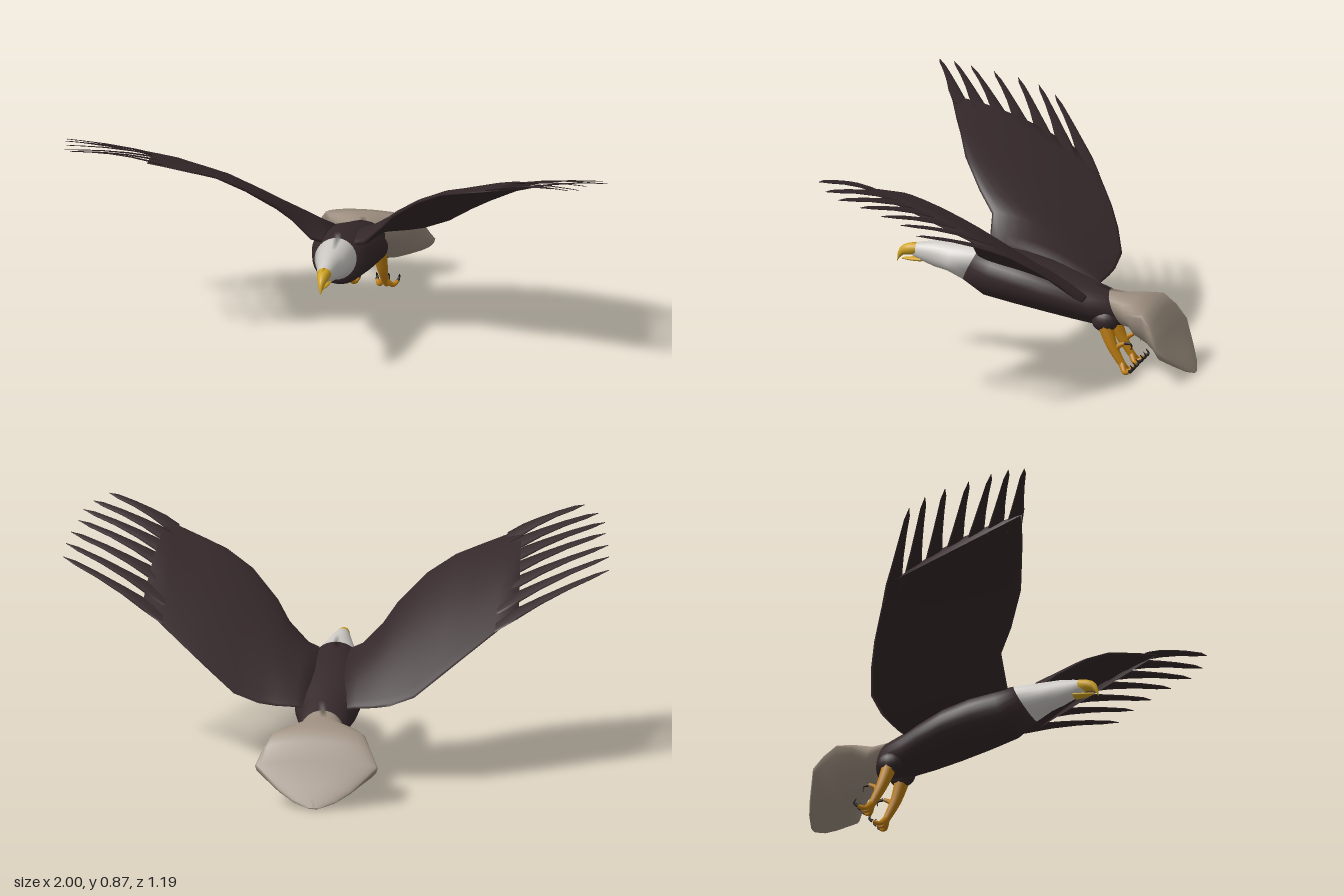
import * as THREE from 'three';

const mat = (name, color) => {
  const m = new THREE.MeshStandardMaterial({ color });
  m.name = name;
  return m;
};
const V = (x, y, z) => new THREE.Vector3(x, y, z);

// Closed skin over a list of rings with equal point counts; faces always point outwards
function loft(rings) {
  const n = rings[0].length, pos = [], idx = [];
  rings.forEach(r => r.forEach(p => pos.push(p.x, p.y, p.z)));
  for (let i = 0; i < rings.length - 1; i++) {
    for (let j = 0; j < n; j++) {
      const a = i * n + j, b = i * n + (j + 1) % n;
      idx.push(a, b, a + n, b, b + n, a + n);
    }
  }
  const last = (rings.length - 1) * n;
  for (let j = 1; j < n - 1; j++) {
    idx.push(0, j + 1, j);
    idx.push(last, last + j, last + j + 1);
  }
  const at = i => V(pos[i * 3], pos[i * 3 + 1], pos[i * 3 + 2]);
  let volume = 0;
  for (let i = 0; i < idx.length; i += 3) volume += at(idx[i]).dot(at(idx[i + 1]).cross(at(idx[i + 2])));
  if (volume < 0) idx.reverse();
  const g = new THREE.BufferGeometry();
  g.setAttribute('position', new THREE.Float32BufferAttribute(pos, 3));
  g.setIndex(idx);
  g.computeVertexNormals();
  return g;
}

// Egg-shaped ring across the body; shear slides its underside along z
function ring([z, top, bottom, w, mid = (top + bottom) / 2, shear = 0]) {
  return Array.from({ length: 28 }, (_, i) => {
    const a = i / 28 * Math.PI * 2, c = Math.cos(a);
    const y = mid + (c > 0 ? top - mid : mid - bottom) * c;
    return V(w * Math.sin(a), y, z + shear * (1 - c) / 2);
  });
}
const bodyLoft = sections => loft(sections.map(ring));

// Tube that narrows from r0 to r1
function taper(points, r0, r1, steps = 12) {
  const curve = new THREE.CatmullRomCurve3(points);
  const g = new THREE.TubeGeometry(curve, steps, 1, 8);
  const p = g.attributes.position, v = new THREE.Vector3();
  for (let i = 0; i < p.count; i++) {
    const t = Math.floor(i / 9) / steps, c = curve.getPointAt(t);
    v.fromBufferAttribute(p, i).sub(c).multiplyScalar(r0 + (r1 - r0) * t).add(c);
    p.setXYZ(i, v.x, v.y, v.z);
  }
  return g;
}

// Wing stations: x at front, front y, z, x at back, back y, z, thickness
const STATIONS = [
  [0.06, 0.41, 0.19, 0.05, 0.28, -0.20, 0.03],
  [0.10, 0.425, 0.20, 0.11, 0.29, -0.22, 0.035],
  [0.17, 0.50, 0.21, 0.18, 0.295, -0.228, 0.03],
  [0.22, 0.57, 0.27, 0.24, 0.305, -0.235, 0.026],
  [0.32, 0.665, 0.35, 0.33, 0.34, -0.238, 0.022],
  [0.42, 0.725, 0.395, 0.42, 0.41, -0.20, 0.018],
  [0.50, 0.752, 0.43, 0.50, 0.47, -0.155, 0.015],
  [0.60, 0.785, 0.47, 0.61, 0.55, -0.08, 0.011],
  [0.65, 0.80, 0.49, 0.69, 0.605, 0.00, 0.006],
];
// Point on the gently arched wing, c runs from front edge to back edge
function wingPoint(s, c, lift = 0) {
  const arch = 0.028 * Math.sin(Math.PI * c);
  return V(s[0] + (s[3] - s[0]) * c, s[1] + (s[4] - s[1]) * c + arch + lift, s[2] + (s[5] - s[2]) * c);
}
function wingGeometry(side) {
  return loft(STATIONS.map(s => Array.from({ length: 24 }, (_, i) => {
    const a = i / 24 * Math.PI * 2, c = (1 - Math.cos(a)) / 2;
    const p = wingPoint(s, c, s[6] * Math.sin(a) * (1 - 0.6 * c));
    p.x *= side;
    return p;
  })));
}

// Tips of the long flight feathers, from back to front
const TIPS = [
  [1.0, 0.73, 0.19], [0.995, 0.765, 0.25], [0.985, 0.79, 0.325], [0.965, 0.812, 0.41],
  [0.955, 0.832, 0.495], [0.925, 0.852, 0.55], [0.87, 0.872, 0.59],
];
function featherGeometry(side, i) {
  const base = wingPoint(STATIONS[7], 0.94 - i * 0.147);
  const tip = V(...TIPS[i]);
  const across = V(0, 0.42, 0.9).normalize();
  const shape = [[0, 0.036], [0.2, 0.036], [0.4, 0.026], [0.65, 0.018], [0.88, 0.013], [1, 0.001]];
  return loft(shape.map(([t, w]) => Array.from({ length: 8 }, (_, k) => {
    const a = k / 8 * Math.PI * 2;
    const p = base.clone().lerp(tip, t).addScaledVector(across, w * Math.cos(a));
    p.y += 0.004 * (1 - 0.7 * t) * Math.sin(a) + 0.012 * Math.sin(Math.PI * t);
    p.x *= side;
    return p;
  })));
}

export function createModel() {
  const model = new THREE.Group();
  const brown = mat('dark brown plumage', 0x35282a);
  const white = mat('white head plumage', 0xcdcac5);
  const cream = mat('cream tail plumage', 0x9d8f80);
  const yellow = mat('beak yellow', 0xcfa323);
  const ochre = mat('leg ochre', 0xbb7c10);
  const black = mat('talon black', 0x221e1c);
  const add = (name, geometry, material, parent = model) => {
    const m = new THREE.Mesh(geometry, material);
    m.name = name;
    parent.add(m);
    return m;
  };

  // Head, body and tail share their border rings
  const neck = [0.20, 0.433, 0.297, 0.078, 0.365, 0.07];
  const rump = [-0.28, 0.295, 0.165, 0.078, 0.23, -0.06];
  add('head', bodyLoft([
    [0.468, 0.417, 0.374, 0.018], [0.43, 0.426, 0.355, 0.03], [0.38, 0.433, 0.336, 0.04],
    [0.31, 0.433, 0.325, 0.055, 0.375, 0.02], neck,
  ]), white);
  add('body', bodyLoft([
    neck, [0.13, 0.427, 0.245, 0.102, 0.34, 0.06], [0.05, 0.412, 0.222, 0.122, 0.32, 0.02],
    [-0.05, 0.385, 0.2, 0.128], [-0.15, 0.345, 0.18, 0.115], [-0.22, 0.318, 0.166, 0.095], rump,
  ]), brown);
  add('tail', bodyLoft([
    rump, [-0.34, 0.285, 0.16, 0.095, 0.22, -0.03], [-0.39, 0.28, 0.135, 0.145, 0.235],
    [-0.44, 0.268, 0.105, 0.172, 0.24], [-0.48, 0.23, 0.08, 0.2, 0.19], [-0.51, 0.16, 0.06, 0.225, 0.14],
    [-0.56, 0.08, 0.033, 0.135, 0.062], [-0.585, 0.04, 0.015, 0.08, 0.028], [-0.602, 0.009, 0.004, 0.02],
  ]), cream);

  // Hooked, slightly open beak
  add('upperBeak', bodyLoft([
    [0.45, 0.422, 0.375, 0.026], [0.48, 0.418, 0.374, 0.021], [0.50, 0.41, 0.372, 0.016],
    [0.514, 0.397, 0.36, 0.01], [0.521, 0.378, 0.35, 0.005], [0.523, 0.355, 0.345, 0.001],
  ]), yellow);
  add('lowerBeak', bodyLoft([
    [0.43, 0.37, 0.352, 0.024], [0.47, 0.366, 0.352, 0.016], [0.505, 0.362, 0.356, 0.004],
  ]), yellow);

  for (const side of [1, -1]) {
    const label = side > 0 ? 'left' : 'right';
    const wing = new THREE.Group();
    wing.name = label + 'Wing';
    model.add(wing);
    add('wingSurface', wingGeometry(side), brown, wing);
    TIPS.forEach((_, i) => add('flightFeather' + (i + 1), featherGeometry(side, i), brown, wing));

    // Leg with three lower toes and one raised toe
    const leg = new THREE.Group();
    leg.name = label + 'Leg';
    model.add(leg);
    const P = (x, y, z) => V(side * x, y, z);
    const thigh = add('thigh', new THREE.SphereGeometry(1, 16, 12), brown, leg);
    thigh.scale.set(0.034, 0.042, 0.05);
    thigh.position.copy(P(0.06, 0.192, -0.275));
    add('shank', taper([P(0.062, 0.18, -0.275), P(0.068, 0.1, -0.305), P(0.07, 0.025, -0.348)], 0.029, 0.013), ochre, leg);
    for (const dx of [-0.035, 0.005, 0.04]) {
      const end = P(0.07 + dx, 0.018, -0.38);
      add('toe', taper([P(0.07, 0.04, -0.34), P(0.07 + dx * 0.7, 0.011, -0.36), end], 0.012, 0.007), ochre, leg);
      add('talon', taper([end, P(0.07 + dx * 1.1, 0.03, -0.394), P(0.07 + dx * 1.15, 0.046, -0.384)], 0.007, 0.001), black, leg);
    }
    const top = P(0.07, 0.115, -0.352);
    add('raisedToe', taper([P(0.07, 0.06, -0.325), P(0.07, 0.096, -0.324), top], 0.013, 0.007), ochre, leg);
    add('raisedTalon', taper([top, P(0.07, 0.11, -0.377), P(0.07, 0.09, -0.376)], 0.007, 0.001), black, leg);
  }
  return model;
}
